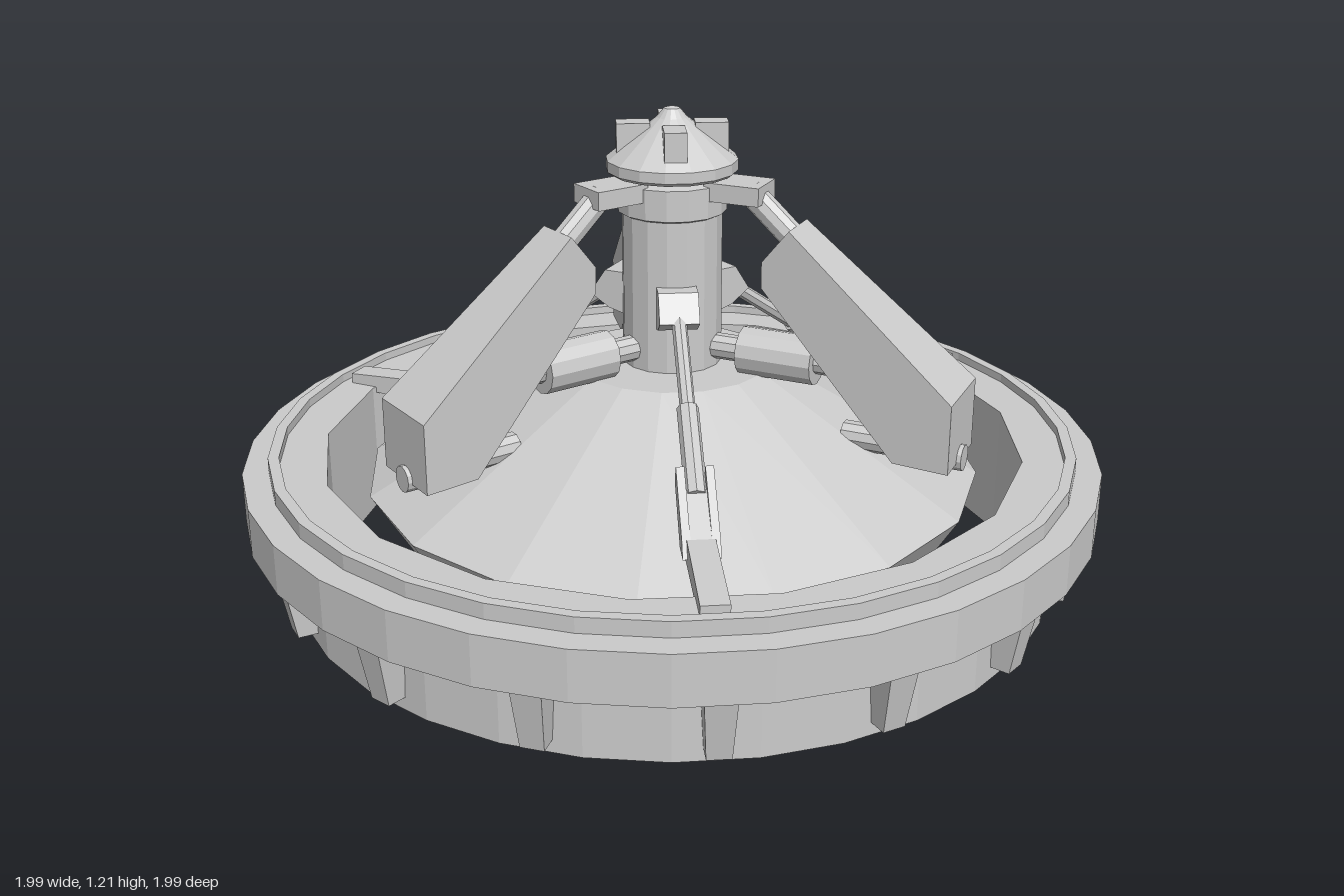
import * as THREE from 'three';

const material = new THREE.MeshStandardMaterial({ color: 0xcccccc, flatShading: true, side: THREE.DoubleSide });
const points = (list) => list.map(([x, y]) => new THREE.Vector2(x, y));

function add(parent, name, geometry) {
  const mesh = new THREE.Mesh(geometry, material);
  mesh.name = name;
  parent.add(mesh);
  return mesh;
}

function addBox(parent, name, size, position) {
  const mesh = add(parent, name, new THREE.BoxGeometry(...size));
  mesh.position.set(...position);
  return mesh;
}

// Cylinder between two points of the radial (x, y) plane
function addRod(parent, name, [x1, y1], [x2, y2], radius, sides = 10) {
  const dx = x2 - x1, dy = y2 - y1;
  const mesh = add(parent, name, new THREE.CylinderGeometry(radius, radius, Math.hypot(dx, dy), sides));
  mesh.position.set((x1 + x2) / 2, (y1 + y2) / 2, 0);
  mesh.rotation.z = Math.atan2(dy, dx) - Math.PI / 2;
  return mesh;
}

// Side profile in (x, y), extruded across z with a width given at each vertex
function addProfile(parent, name, profile, width) {
  const geometry = new THREE.ExtrudeGeometry(new THREE.Shape(points(profile)), { depth: 1, bevelEnabled: false });
  const p = geometry.attributes.position;
  for (let i = 0; i < p.count; i++) p.setZ(i, (p.getZ(i) - 0.5) * width(p.getX(i), p.getY(i)));
  geometry.computeVertexNormals();
  return add(parent, name, geometry);
}

function polygon(radius, sides, start) {
  return Array.from({ length: sides }, (_, i) => {
    const a = start + (i / sides) * Math.PI * 2;
    return new THREE.Vector2(radius * Math.cos(a), radius * Math.sin(a));
  });
}

// Flat ring from y0 to y1; inner and outer outlines may have different side counts
function addRing(parent, name, outer, inner, innerSides, y0, y1) {
  const shape = new THREE.Shape(polygon(outer, 32, Math.PI / 32));
  shape.holes.push(new THREE.Path(polygon(inner, innerSides, innerSides === 32 ? Math.PI / 32 : -Math.PI / 2 + 0.02)));
  const geometry = new THREE.ExtrudeGeometry(shape, { depth: y1 - y0, bevelEnabled: false });
  geometry.rotateX(-Math.PI / 2);
  add(parent, name, geometry).position.y = y0;
}

// Group turned so that its +x points along the angle, measured from +x towards +z
function radialGroup(parent, name, degrees) {
  const group = new THREE.Group();
  group.name = name;
  group.rotation.y = -THREE.MathUtils.degToRad(degrees);
  parent.add(group);
  return group;
}

export function createModel() {
  const model = new THREE.Group();
  model.name = 'wheelPlatform';

  // Outer ring
  addRing(model, 'lowerDrum', 0.9, 0.82, 17, 0.1, 0.285);
  addRing(model, 'rimBand', 1.0, 0.82, 17, 0.285, 0.4);
  addRing(model, 'rimStep', 0.93, 0.82, 17, 0.4, 0.415);
  addRing(model, 'rimLip', 0.94, 0.915, 32, 0.4, 0.435);

  // Ribs under the rim band
  for (let i = 0; i < 16; i++) {
    const rib = radialGroup(model, 'rib', (i + 0.5) * 22.5);
    addProfile(rib, 'ribBlock', [[0.87, 0.13], [0.94, 0.13], [0.97, 0.287], [0.87, 0.287]],
      (x, y) => (y > 0.2 ? 0.068 : 0.052));
  }

  // Conical deck
  add(model, 'deck', new THREE.LatheGeometry(
    points([[0, 0.17], [0.61, 0.17], [0.72, 0.35], [0.235, 0.615], [0, 0.615]]), 16));

  // Bottom knob
  add(model, 'knob', new THREE.LatheGeometry(points([
    [0, 0.005], [0.085, 0.012], [0.11, 0.025], [0.115, 0.045], [0.105, 0.062],
    [0.09, 0.068], [0.1, 0.08], [0.1, 0.092], [0.09, 0.1], [0.09, 0.175]]), 20));
  add(model, 'knobTip', new THREE.CylinderGeometry(0.085, 0.06, 0.012, 20)).position.y = 0.006;

  // Central mast and cap
  add(model, 'mast', new THREE.LatheGeometry(points([
    [0.115, 0.6], [0.115, 0.97], [0.125, 0.975], [0.125, 1.045], [0.1, 1.05], [0.1, 1.07]]), 16));
  add(model, 'cap', new THREE.LatheGeometry(points([
    [0, 1.06], [0.14, 1.06], [0.15, 1.068], [0.15, 1.092], [0.035, 1.185], [0.018, 1.205], [0, 1.21]]), 16));
  for (let i = 0; i < 4; i++) {
    const lug = radialGroup(model, 'capLug', -32 + i * 90);
    addBox(lug, 'lugBlock', [0.075, 0.095, 0.05], [0.088, 1.128, 0]);
  }

  for (let i = 0; i < 3; i++) {
    // Legs with their top arm, damper and foot pin
    const leg = radialGroup(model, 'leg', -3.5 + i * 120);
    addBox(leg, 'topArm', [0.13, 0.042, 0.1], [0.165, 1.035, 0]);
    addRod(leg, 'topLink', [0.19, 1.035], [0.34, 0.9], 0.03);
    addProfile(leg, 'legBeam',
      [[0.305, 0.97], [0.24, 0.89], [0.24, 0.83], [0.57, 0.48], [0.7, 0.48], [0.7, 0.64]],
      (x) => 0.1 + Math.max(0, x - 0.24) * 0.2);
    addRod(leg, 'damperRod', [0.08, 0.66], [0.52, 0.66], 0.03);
    addRod(leg, 'damperSleeve', [0.18, 0.66], [0.36, 0.66], 0.056, 12);
    addRod(leg, 'footSleeve', [0.43, 0.495], [0.57, 0.495], 0.032);
    addRod(leg, 'footPin', [0.55, 0.486], [0.71, 0.486], 0.03, 12);

    // Slanted struts between the legs
    const strut = radialGroup(model, 'strut', 56.5 + i * 120);
    addProfile(strut, 'strutBracket',
      [[0.1, 0.72], [0.14, 0.73], [0.19, 0.76], [0.15, 0.82], [0.1, 0.82]], () => 0.09);
    addRod(strut, 'strutRod', [0.15, 0.775], [0.54, 0.505], 0.017, 8);
    addRod(strut, 'strutSleeve', [0.36, 0.63], [0.54, 0.505], 0.024, 8);
    for (const side of [-1, 1]) {
      addProfile(strut, 'strutFork',
        [[0.49, 0.52], [0.6, 0.42], [0.66, 0.42], [0.64, 0.455], [0.51, 0.56]], () => 0.018)
        .position.z = side * 0.031;
    }
    addProfile(strut, 'strutFin',
      [[0.89, 0.44], [0.64, 0.455], [0.54, 0.52], [0.53, 0.49], [0.62, 0.4], [0.89, 0.4]], () => 0.06);
  }

  return model;
}
